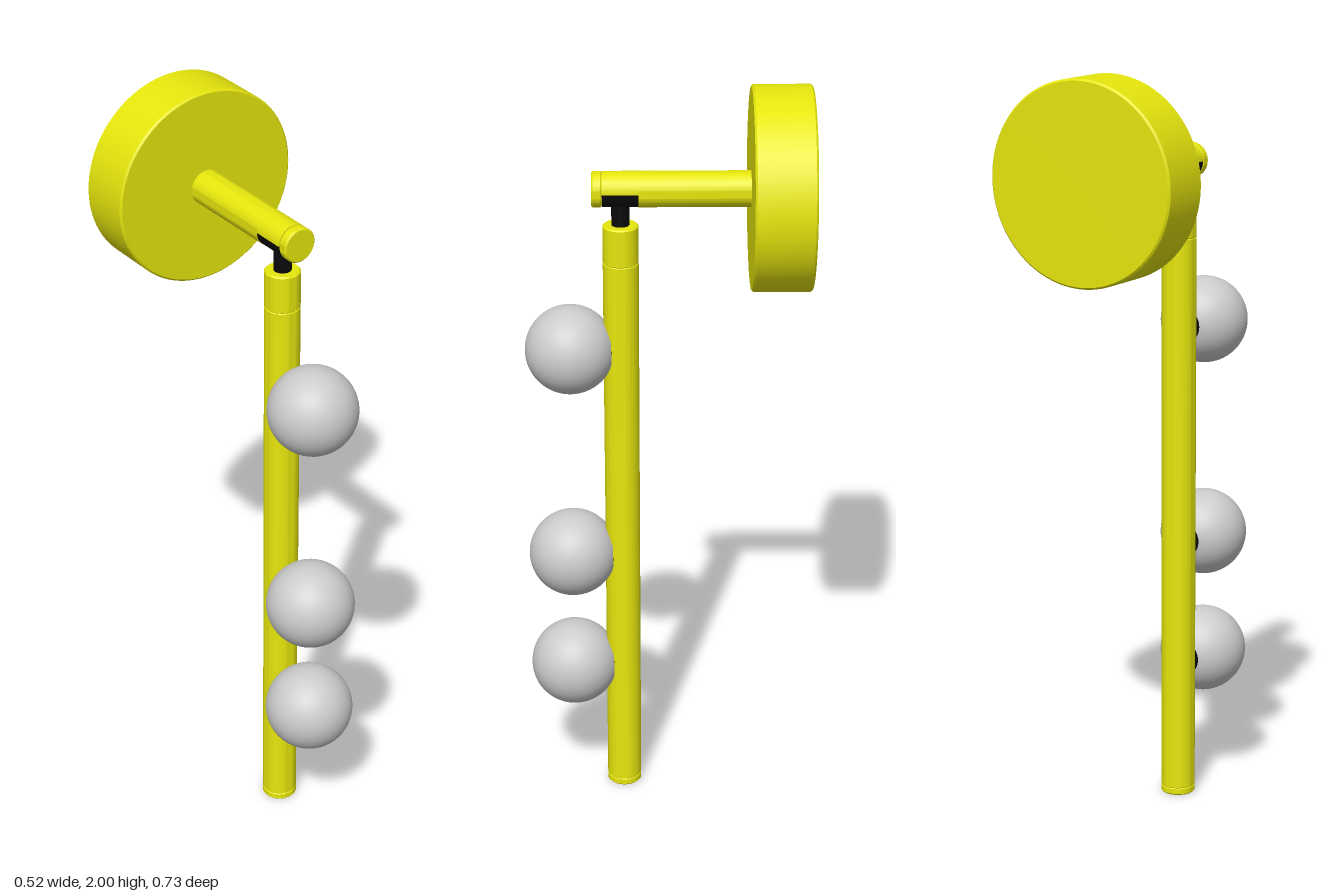
import * as THREE from 'three';
import { toCreasedNormals } from 'three/addons/utils/BufferGeometryUtils.js';

const yellow = new THREE.MeshStandardMaterial({ color: 0xe6e60d });
const black = new THREE.MeshStandardMaterial({ color: 0x0a0a0a });
const grey = new THREE.MeshStandardMaterial({ color: 0xcccccc });

const ARM_Y = 1.74, ARM_R = 0.046, ROD_Z = 0.117, ROD_R = 0.046;

// Turned solid from [radius, height] pairs, bottom to top
function turned(profile, segments = 64) {
  const points = profile.map(([r, y]) => new THREE.Vector2(r, y));
  return toCreasedNormals(new THREE.LatheGeometry(points, segments), 0.5);
}

// Closed cylinder profile with small bevels at both ends
function bevelled(r, y0, y1, b) {
  return [[0, y0], [r - b, y0], [r, y0 + b], [r, y1 - b], [r - b, y1], [0, y1]];
}

export function createModel() {
  const model = new THREE.Group();

  function add(name, geometry, material, x, y, z, parent = model) {
    const mesh = new THREE.Mesh(geometry, material);
    mesh.name = name;
    mesh.position.set(x, y, z);
    parent.add(mesh);
    return mesh;
  }

  // Round wall plate
  add('wallPlate', turned(bevelled(0.261, -0.367, -0.213, 0.005), 96).rotateX(Math.PI / 2),
    yellow, 0, ARM_Y, 0);

  // Horizontal arm, with its underside notched around the pivot
  const n0 = ROD_Z - 0.046, n1 = ROD_Z + 0.046;
  add('armRear', turned([[0, -0.22], [ARM_R, -0.22], [ARM_R, n0], [0, n0]]).rotateX(Math.PI / 2),
    yellow, 0, ARM_Y, 0);
  add('armTip', turned(bevelled(ARM_R, n1, 0.19, 0.004)).rotateX(Math.PI / 2),
    yellow, 0, ARM_Y, 0);
  const half = (r, start) =>
    new THREE.CylinderGeometry(r, r, n1 - n0, 32, 1, false, start, Math.PI).rotateX(Math.PI / 2);
  add('armBridge', half(ARM_R, Math.PI / 2), yellow, 0, ARM_Y, ROD_Z);

  // Black pivot filling the notch, and its stem
  add('pivotBlock', half(ARM_R - 0.001, -Math.PI / 2), black, 0, ARM_Y, ROD_Z);
  add('pivotStem', new THREE.CylinderGeometry(0.023, 0.023, 0.1, 32), black, 0, 1.68, ROD_Z);

  // Hanging rod with fine grooves at the end cap and the top collar
  const R = ROD_R, g = 0.002;
  const groove = (y) => [[R, y - g], [R - g, y], [R, y + g]];
  add('rod', turned([
    [0, 0], [R - 0.004, 0], [R, 0.004], ...groove(0.02), ...groove(1.543),
    [R, 1.641], [R - 0.004, 1.645], [0, 1.645],
  ]), yellow, 0, 0, ROD_Z);

  // Globes, cut flat where they meet the rod
  const r = 0.117, cut = 0.107, cutR = Math.sqrt(r * r - cut * cut);
  const profile = [];
  const start = Math.asin(-cut / r);
  for (let i = 0; i <= 32; i++) {
    const a = start + (Math.PI / 2 - start) * i / 32;
    profile.push(new THREE.Vector2(Math.max(0, r * Math.cos(a)), r * Math.sin(a)));
  }
  const globeGeometry = new THREE.LatheGeometry(profile, 64).rotateX(Math.PI / 2);
  const seatGeometry = new THREE.CircleGeometry(cutR, 48).rotateY(Math.PI);
  for (const y of [1.302, 0.711, 0.376]) {
    const lamp = new THREE.Group();
    lamp.name = 'lamp';
    lamp.position.set(0, y, 0.25);
    add('globe', globeGeometry, grey, 0, 0, 0, lamp);
    add('globeSeat', seatGeometry, black, 0, 0, -cut, lamp);
    model.add(lamp);
  }

  return model;
}
